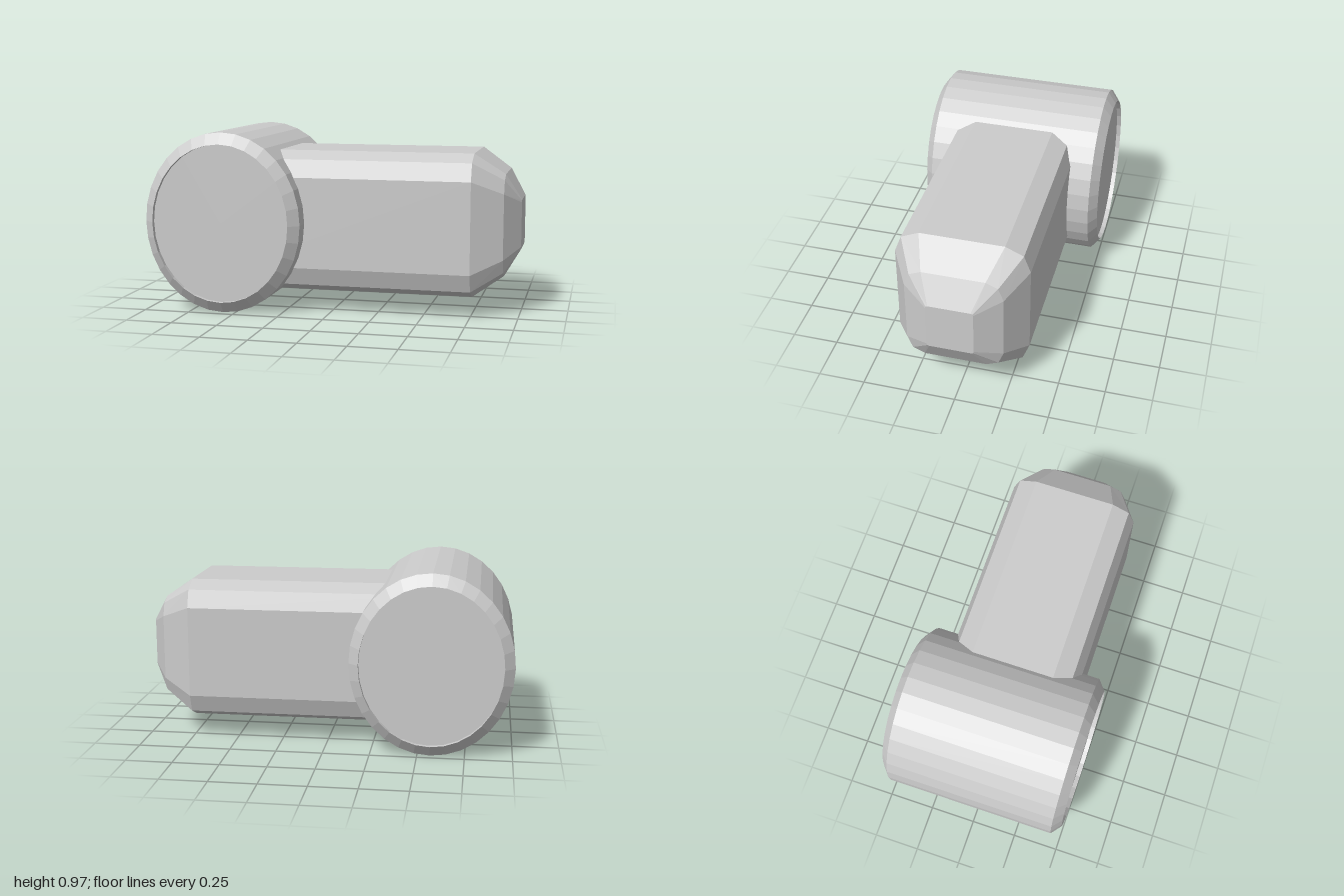
import * as THREE from 'three';

const material = new THREE.MeshStandardMaterial({ color: 0xcccccc, flatShading: true });

function facetedMesh(geometry, name) {
  const flat = geometry.index ? geometry.toNonIndexed() : geometry;
  flat.computeVertexNormals();
  const mesh = new THREE.Mesh(flat, material);
  mesh.name = name;
  return mesh;
}

// Mirror three corner points [z, y] into a closed 12-point ring at x
function ring(x, corner) {
  const back = [...corner].reverse();
  return [
    ...corner,
    ...back.map(([z, y]) => [-z, y]),
    ...corner.map(([z, y]) => [-z, -y]),
    ...back.map(([z, y]) => [z, -y]),
  ].map(([z, y]) => new THREE.Vector3(x, y, z));
}

// Skin the rings, which run along +x, and close both ends
function loft(rings) {
  const points = [];
  const n = rings[0].length;
  const first = rings[0], last = rings[rings.length - 1];
  const startCentre = new THREE.Vector3(first[0].x, 0, 0);
  const endCentre = new THREE.Vector3(last[0].x, 0, 0);
  for (let j = 0; j < n; j++) {
    const k = (j + 1) % n;
    for (let i = 0; i < rings.length - 1; i++) {
      const a = rings[i], b = rings[i + 1];
      points.push(a[j], b[j], b[k], a[j], b[k], a[k]);
    }
    points.push(startCentre, first[j], first[k]);
    points.push(endCentre, last[k], last[j]);
  }
  return new THREE.BufferGeometry().setFromPoints(points);
}

export function createModel() {
  const model = new THREE.Group();
  model.name = 'hammerShape';

  // Oval barrel lying along z, with bevelled rims and slightly sunken end faces
  const profile = [
    [0, -0.48], [0.875, -0.48], [0.875, -0.505], [1, -0.46],
    [1, 0.46], [0.875, 0.505], [0.875, 0.48], [0, 0.48],
  ].map(([r, h]) => new THREE.Vector2(r, h));
  const barrel = new THREE.LatheGeometry(profile, 32);
  barrel.rotateX(Math.PI / 2);
  barrel.scale(0.433, 0.487, 1);
  barrel.translate(-0.567, 0.493, -0.002);
  model.add(facetedMesh(barrel, 'barrel'));

  // Chamfered arm along +x, tapering in two steps to a blunt tip
  const body = [[0.353, 0.245], [0.317, 0.34], [0.222, 0.383]];
  const shoulder = [[0.256, 0.175], [0.228, 0.246], [0.165, 0.273]];
  const tip = [[0.123, 0.12], [0.12, 0.13], [0.11, 0.133]];
  const arm = loft([ring(-0.5, body), ring(0.755, body), ring(0.917, shoulder), ring(1, tip)]);
  arm.translate(0, 0.493, 0.013);
  model.add(facetedMesh(arm, 'arm'));

  return model;
}
